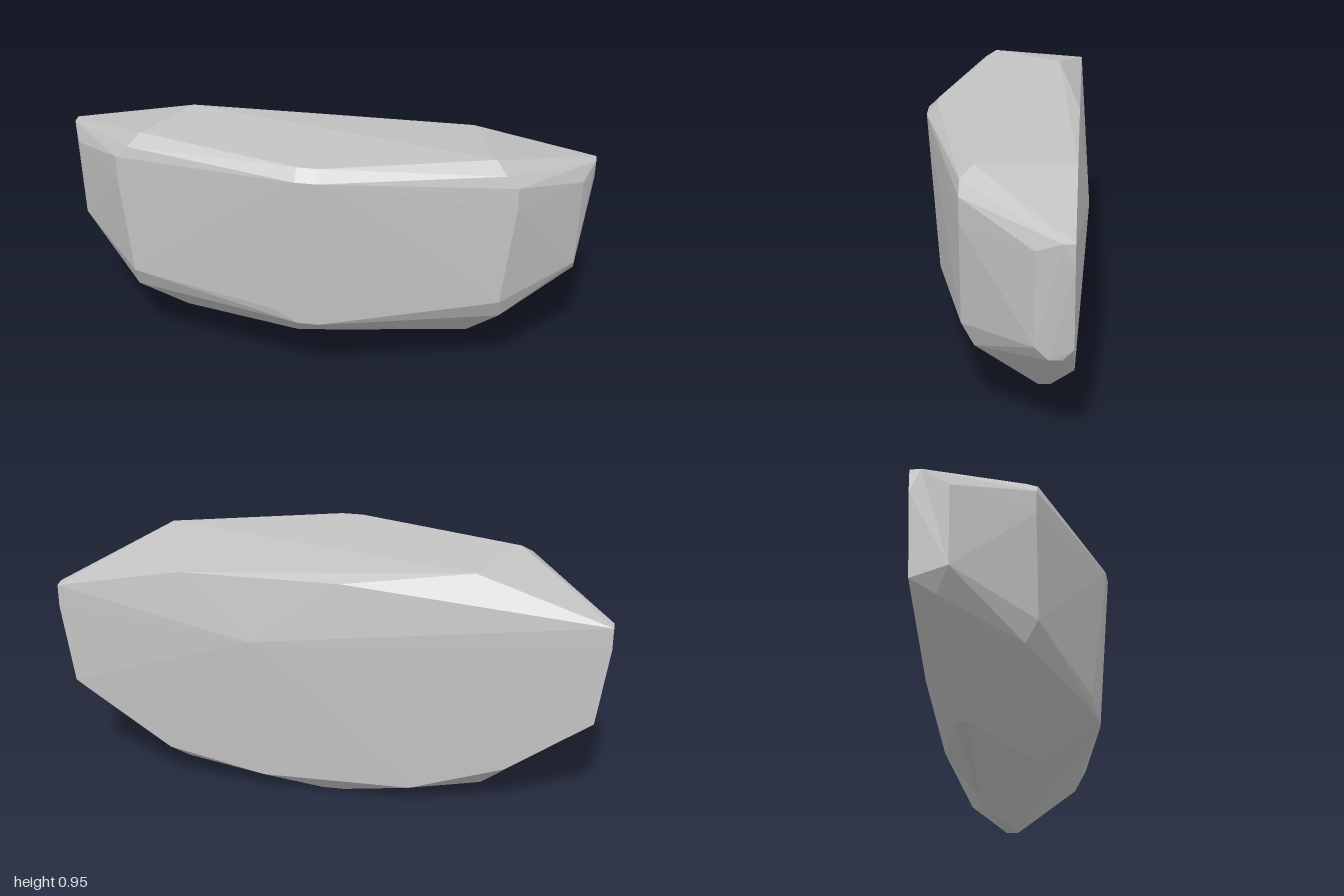
import * as THREE from 'three';
import { ConvexGeometry } from 'three/addons/geometries/ConvexGeometry.js';

export function createModel() {
  const group = new THREE.Group();
  group.name = 'rock';
  const stone = new THREE.MeshStandardMaterial({ color: 0xc4c4c4 });
  stone.name = 'pale grey stone';

  // Corners shared by both ends of the boulder
  const mirrored = [
    // top rim and front nose
    [0.04, 0.955, 0.26], [0.04, 0.915, 0.3], [0.65, 0.955, 0.085],
    [0.69, 0.915, 0.13], [0.735, 0.87, 0.13], [0.735, 0.78, 0.13],
    // ends
    [1, 0.825, -0.22], [1, 0.825, -0.26], [1, 0.74, -0.26],
    [0.96, 0.78, -0.13], [0.96, 0.435, -0.26],
    // front lower edge
    [0.04, 0.305, 0.26], [0.69, 0.305, 0.085], [0.69, 0.39, 0.13],
    // underside
    [0.56, 0.09, -0.13], [0.56, 0.09, -0.175], [0.04, 0, -0.175],
  ];
  // Corners that make the boulder uneven
  const single = [
    [0.95, 0.435, -0.13], [0.95, 0.39, -0.175], [0.95, 0.39, -0.22],
    [-0.95, 0.48, -0.13], [-0.91, 0.395, -0.175],
    [-0.13, 0.35, 0.25], [-0.08, 0.13, 0.04],
    // back face
    [-0.51, 0.955, -0.175], [-0.04, 0.915, -0.26], [0.54, 0.915, -0.26],
    [0.29, 0.675, -0.3], [0.25, 0.09, -0.26], [-0.3, 0.09, -0.26],
    [0.61, 0.175, -0.26], [-0.65, 0.21, -0.26],
  ];

  const points = single.map((p) => new THREE.Vector3(...p));
  for (const [x, y, z] of mirrored) {
    points.push(new THREE.Vector3(x, y, z), new THREE.Vector3(-x, y, z));
  }

  // Faceted stone body
  const boulder = new THREE.Mesh(new ConvexGeometry(points), stone);
  boulder.name = 'boulder';
  group.add(boulder);
  return group;
}
